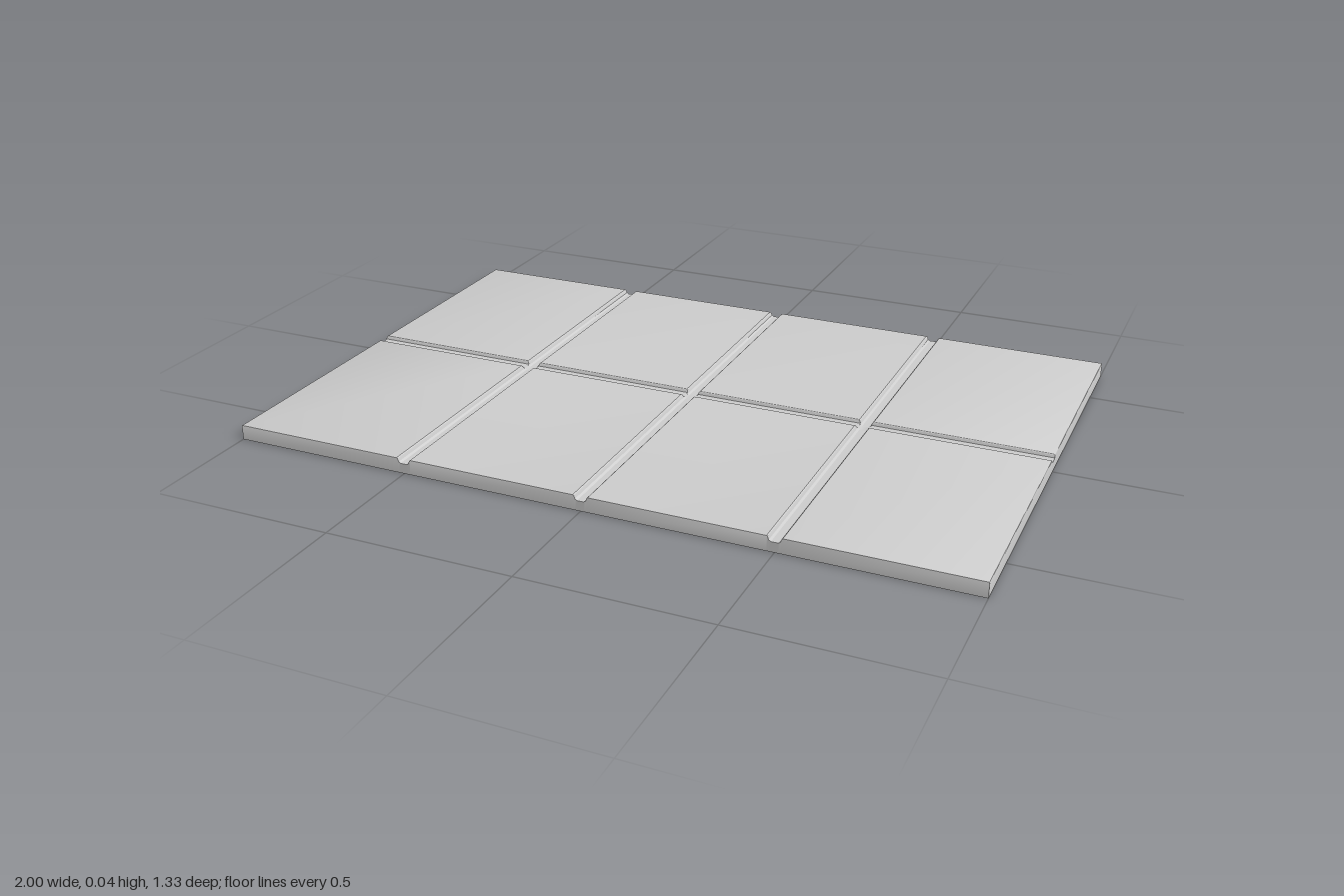
import * as THREE from 'three';
import { toCreasedNormals } from 'three/addons/utils/BufferGeometryUtils.js';

const HALF_X = 1, HALF_Z = 0.665, TOP = 0.041;

// Half groove profile: [distance from groove centre, share of the groove depth]
const GROOVE = [[0.02, 0], [0.0175, 0.15], [0.016, 0.4], [0.0145, 0.75], [0.009, 1]];
const RIM = [[0, 0.003], [0.001, 0.001], [0.003, 0]]; // [inset, drop] of the eased outer edge

// Height stations across the panel, ordered from -half to +half
function stations(half, centres, depth) {
  const list = [];
  for (const [inset, drop] of RIM) {
    list.push([-half + inset, TOP - drop], [half - inset, TOP - drop]);
  }
  for (const c of centres) {
    for (const [d, k] of GROOVE) list.push([c - d, TOP - k * depth], [c + d, TOP - k * depth]);
  }
  return list.sort((a, b) => a[0] - b[0]);
}

export function createModel() {
  const group = new THREE.Group();
  group.name = 'groovedPanel';

  const xs = stations(HALF_X, [-0.5, 0, 0.5], 0.014);
  const zs = stations(HALF_Z, [0], 0.011);
  const nx = xs.length - 1, nz = zs.length - 1;

  // Unit box whose grid lines are moved onto the stations, top lowered in the grooves
  const box = new THREE.BoxGeometry(1, 1, 1, nx, 1, nz);
  const p = box.attributes.position;
  for (let i = 0; i < p.count; i++) {
    const [x, hx] = xs[Math.round((p.getX(i) + 0.5) * nx)];
    const [z, hz] = zs[Math.round((p.getZ(i) + 0.5) * nz)];
    p.setXYZ(i, x, p.getY(i) > 0 ? Math.min(hx, hz) : 0, z);
  }
  const panel = new THREE.Mesh(
    toCreasedNormals(box, 0.5),
    new THREE.MeshStandardMaterial({ color: 0xcccccc })
  );
  panel.name = 'tiledSlab';
  group.add(panel);
  return group;
}
